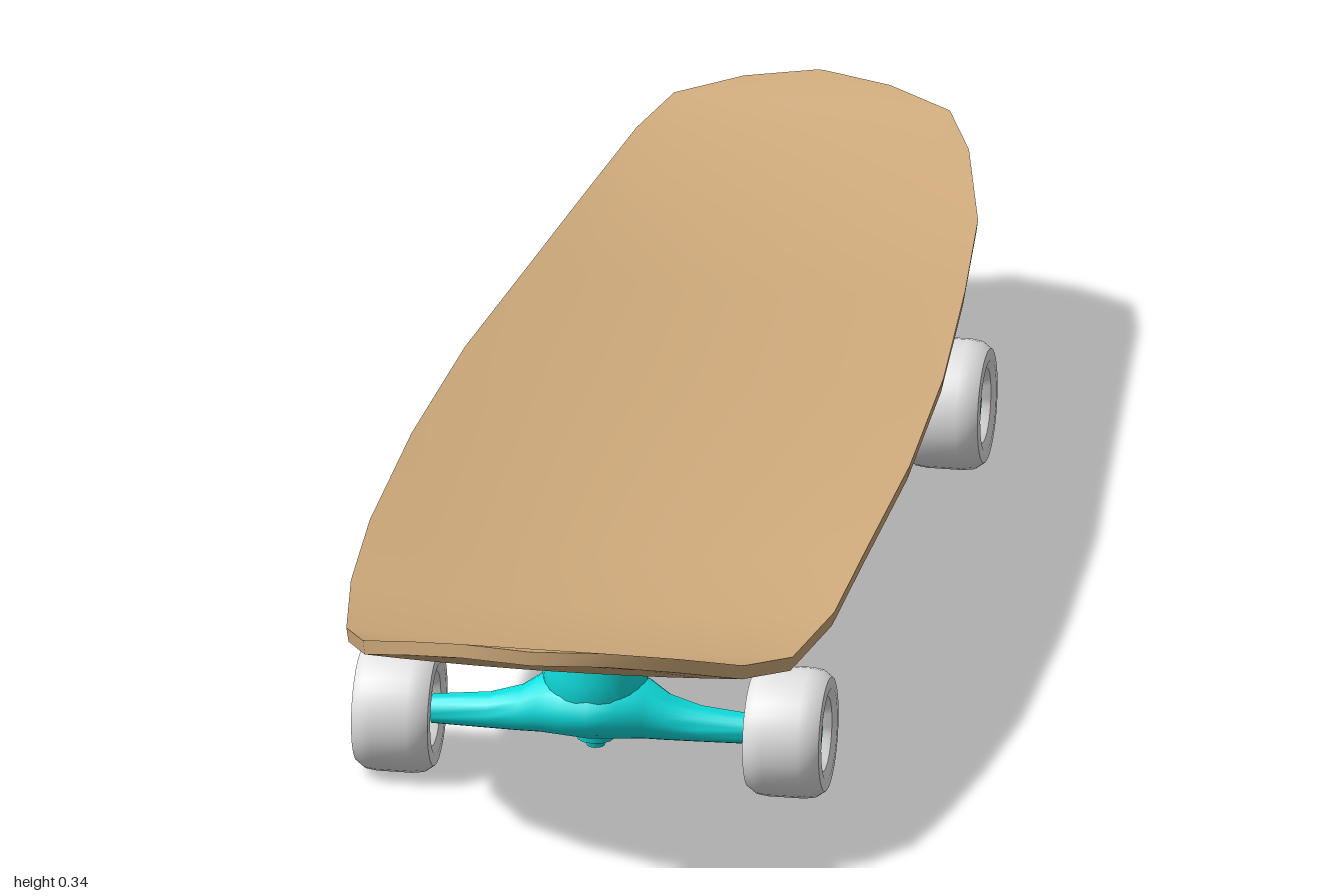
import * as THREE from 'three';
import { toCreasedNormals } from 'three/addons/utils/BufferGeometryUtils.js';

const mat = (name, color) => {
  const m = new THREE.MeshStandardMaterial({ color });
  m.name = name;
  return m;
};

// Skin a list of closed rings of [x, y, z] points and cap both ends
function loft(rings, crease) {
  const n = rings[0].length, last = (rings.length - 1) * n, index = [];
  for (let r = 0; r < rings.length - 1; r++) {
    for (let i = 0; i < n; i++) {
      const a = r * n + i, b = r * n + (i + 1) % n;
      index.push(a, b, a + n, b, b + n, a + n);
    }
  }
  for (let i = 1; i < n - 1; i++) {
    index.push(0, i + 1, i, last, last + i, last + i + 1);
  }
  const g = new THREE.BufferGeometry();
  g.setAttribute('position', new THREE.Float32BufferAttribute(rings.flat(2), 3));
  g.setIndex(index);
  return toCreasedNormals(g, crease);
}

// Lathe a [radius, height] profile with sharp edges kept
const lathe = (profile, sides) => toCreasedNormals(
  new THREE.LatheGeometry(profile.map(([r, h]) => new THREE.Vector2(r, h)), sides), 0.6);

function add(parent, name, geometry, material, x = 0, y = 0, z = 0) {
  const mesh = new THREE.Mesh(geometry, material);
  mesh.name = name;
  mesh.position.set(x, y, z);
  parent.add(mesh);
  return mesh;
}

// Deck stations: z, half width, underside height, rise of the edges
const DECK = [
  [0.998, 0.004, 0.322, 0], [0.975, 0.09, 0.317, 0], [0.92, 0.17, 0.292, 0.002],
  [0.84, 0.235, 0.253, 0.006], [0.73, 0.275, 0.22, 0.01], [0.57, 0.298, 0.208, 0.02],
  [0.4, 0.305, 0.21, 0.03], [0.1, 0.307, 0.212, 0.024], [-0.2, 0.295, 0.212, 0.02],
  [-0.5, 0.268, 0.208, 0.018], [-0.73, 0.243, 0.212, 0.016], [-0.88, 0.205, 0.253, 0.006],
  [-0.945, 0.17, 0.28, 0.002], [-0.98, 0.09, 0.296, 0], [-1, 0.004, 0.302, 0],
];

function deckGeometry() {
  const thick = 0.018, cols = 10;
  return loft(DECK.map(([z, w, y, rise]) => {
    const top = [], bottom = [];
    for (let i = 0; i <= cols; i++) {
      const f = (i / cols) * 2 - 1, h = y + rise * f * f;
      top.push([w * f, h + thick, z]);
      bottom.unshift([w * f * 0.99, h, z]);
    }
    return [...top, ...bottom];
  }), 0.7);
}

// Hanger stations: x, centre height, half height, half depth
const ARM = [
  [0, 0.103, 0.042, 0.066], [0.035, 0.102, 0.04, 0.056], [0.065, 0.098, 0.036, 0.042],
  [0.09, 0.089, 0.028, 0.031], [0.13, 0.083, 0.022, 0.023], [0.2, 0.08, 0.018, 0.018],
];

function hangerGeometry() {
  const stations = [
    ...ARM.slice(1).reverse().map(([x, ...s]) => [-x, ...s]),
    ...ARM,
  ];
  return loft(stations.map(([x, y, hy, hz]) => Array.from({ length: 20 }, (_, i) => {
    const t = (i / 20) * Math.PI * 2;
    return [x, y + hy * Math.cos(t), hz * Math.sin(t)];
  })), 0.9);
}

// Tyre with a recess on both faces
const TYRE = [
  [0.036, -0.022], [0.046, -0.043], [0.056, -0.048], [0.07, -0.047], [0.078, -0.036],
  [0.08, -0.022], [0.08, 0.022], [0.078, 0.036], [0.07, 0.047], [0.056, 0.048],
  [0.046, 0.043], [0.036, 0.022], [0.036, -0.022],
];

export function createModel() {
  const model = new THREE.Group();
  model.name = 'skateboard';
  const wood = mat('wood', 0xd0ab7c);
  const teal = mat('tealMetal', 0x10e0e0);
  const orange = mat('orange', 0xe8920f);
  const white = mat('wheelWhite', 0xe2e2e2);

  add(model, 'deck', deckGeometry(), wood);

  const hanger = hangerGeometry();
  const body = lathe([[0, 0.064], [0.03, 0.066], [0.048, 0.085], [0.062, 0.115],
    [0.065, 0.145], [0.062, 0.175], [0, 0.175]], 28);
  const nut = lathe([[0, 0.044], [0.011, 0.044], [0.014, 0.053], [0.023, 0.054],
    [0.026, 0.066], [0, 0.07]], 12);
  const plate = new THREE.BoxGeometry(0.13, 0.035, 0.171);
  const tyre = lathe(TYRE, 32);
  const bearing = lathe([[0, -0.026], [0.026, -0.026], [0.036, -0.022], [0.036, 0.022],
    [0.026, 0.026], [0, 0.026]], 24);
  const axle = new THREE.CylinderGeometry(0.009, 0.009, 0.556, 12);
  const axleNut = new THREE.CylinderGeometry(0.018, 0.018, 0.012, 6);

  for (const [name, z] of [['frontTruck', 0.549], ['rearTruck', -0.549]]) {
    const truck = new THREE.Group();
    truck.name = name;
    truck.position.z = z;
    model.add(truck);
    add(truck, 'basePlate', plate, orange, 0, 0.1905, 0);
    add(truck, 'truckBody', body, teal);
    add(truck, 'hanger', hanger, teal, 0, 0, 0.006);
    add(truck, 'kingpinNut', nut, teal);
    add(truck, 'axle', axle, teal, 0, 0.08, 0.006).rotation.z = -Math.PI / 2;
    for (const side of [-1, 1]) {
      const wheel = new THREE.Group();
      wheel.name = side > 0 ? 'leftWheel' : 'rightWheel';
      wheel.position.set(side * 0.241, 0.08, 0.006);
      wheel.rotation.z = -side * Math.PI / 2;
      truck.add(wheel);
      add(wheel, 'tyre', tyre, white);
      add(wheel, 'bearing', bearing, orange);
      add(wheel, 'axleNut', axleNut, teal, 0, 0.031, 0);
    }
  }
  return model;
}
